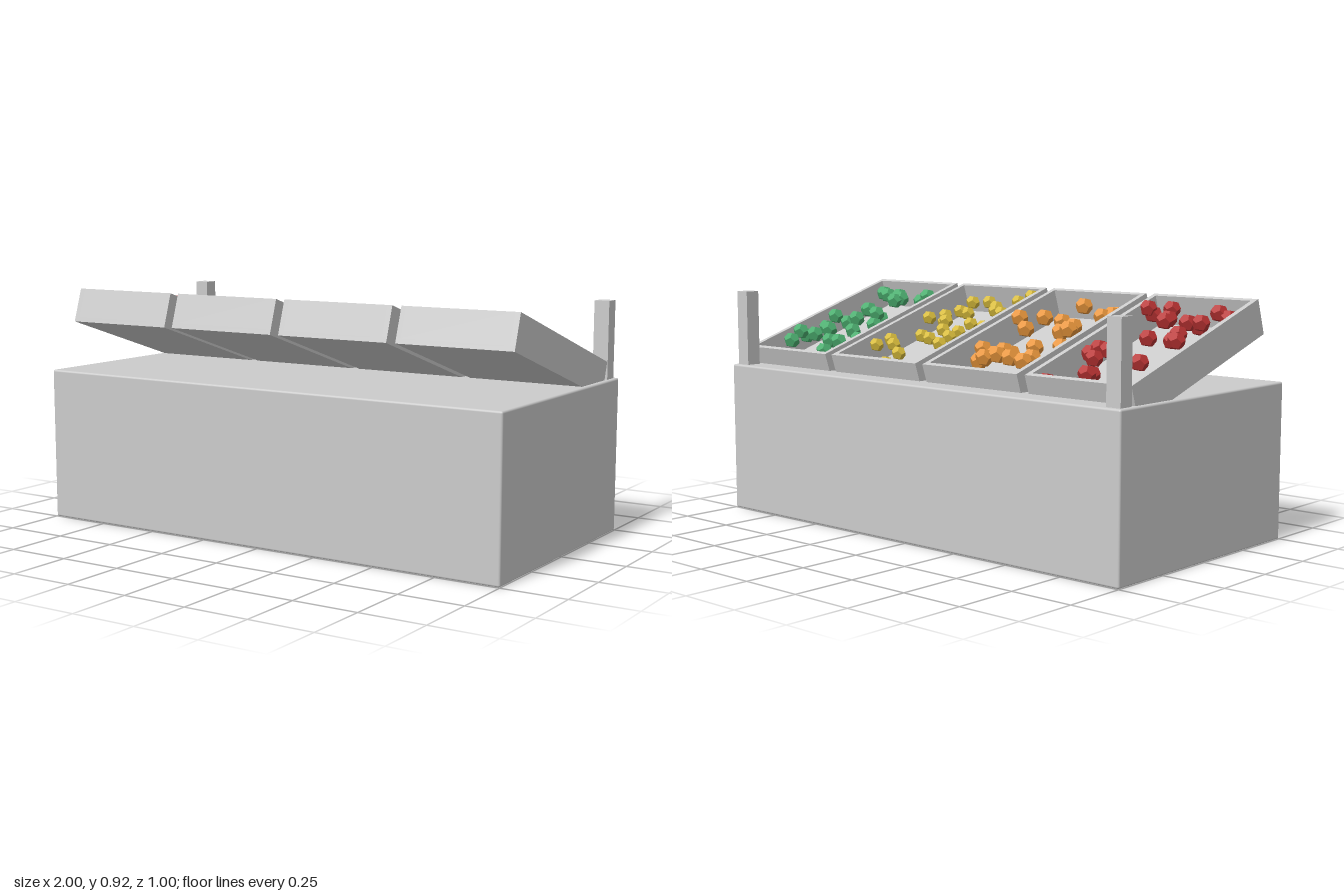
import * as THREE from 'three';
import { RoundedBoxGeometry } from 'three/addons/geometries/RoundedBoxGeometry.js';

const grey = new THREE.MeshStandardMaterial({ color: 0xcccccc });

function add(parent, name, geometry, x, y, z, material = grey) {
  const mesh = new THREE.Mesh(geometry, material);
  mesh.name = name;
  mesh.position.set(x, y, z);
  parent.add(mesh);
  return mesh;
}

// Small repeatable random number generator
function seeded(seed) {
  return () => (seed = (seed * 16807) % 2147483647) / 2147483647;
}

// Tray size, wall thickness, tilt and centre
const W = 0.464, H = 0.137, D = 0.8, T = 0.02;
const TILT = 0.314, TRAY_Y = 0.727, TRAY_Z = -0.02;

// Fruit spots per tray: x from the tray's middle and z, in hundredths
const redSpots = [
  -11.5, -31.6, 2, -34, 18, -36.5, 5.5, -27, -10, -20, 11.5, -18, 2, -14, 9, -13, 14, -12,
  16, -14.5, -11.5, -0.5, 1.5, 0.5, 17, 4, -6.5, 4, -6, 8.5, -11, 15.5, -5.5, 15, -8, 19,
  5, 15.5, 6.5, 20, 7.5, 23.5, 19, 24.5, 18.5, 27, -18, 23, -14, 22.5];
const orangeSpots = [
  -13, -27, -14, -23, -4, -24, 0.5, -26, 4, -29, 8.5, -27, 9, -24, 1, -21.5, 0.5, -18,
  8.5, -18, 16.5, -16, -17, -10, -5, -11, -12.5, -0.5, -7.5, 1, 8.5, -0.5, 18.5, 7.5,
  -5, 12, 1.5, 13, 10, 12.5, -14.5, 17.5, -17, 20.5, -17, 23.5, -2.5, 21.5];
const yellowSpots = [
  2, -33, 1, -27, -10, -15.5, -4, -15, -1, -16, -10.5, -10.5, 13, -18, 18.5, -22, 17.5, -15,
  -9.5, -4, -1, -4, -17, 2.5, -10.5, 2, 3.5, 2.5, 7, 5, 11.5, 1, 10, 9, 2, 9.5, -1, 10.5,
  -17, 13, -11, 16, -8.5, 19.5, -2.5, 22, 3, 18, -13.5, 27.5, -18.5, 30];
const greenSpots = [
  -9, -30, 14.5, -27, -8.5, -21.5, -3, -21.5, -17, -18.5, 6, -21.5, 15.5, -21, 17, -16.5,
  -16.5, -9, -2.5, -8, 8, -12, 10.5, -9.5, 15, -7, -8.5, 0, -7, 4, 1.5, -2, 7.5, -1.5,
  17.5, 0.5, 4.5, 8, 10, 12.5, -4, 15, -5, 18, -1.5, 20.5, 5.5, 20.5, 9.5, 22, -16, 23, -12, 23];

// Open tray: floor and four walls, tilted with the front edge up
function createTray(x) {
  const tray = new THREE.Group();
  tray.name = 'tray';
  tray.position.set(x, TRAY_Y, TRAY_Z);
  tray.rotation.x = -TILT;
  add(tray, 'trayFloor', new THREE.BoxGeometry(W, T, D), 0, -H / 2 + T / 2, 0);
  const wallH = H - T;
  for (const s of [-1, 1]) {
    add(tray, 'traySideWall', new THREE.BoxGeometry(T, wallH, D), s * (W - T) / 2, T / 2, 0);
    add(tray, 'trayEndWall', new THREE.BoxGeometry(W - 2 * T, wallH, T), 0, T / 2, s * (D - T) / 2);
  }
  return tray;
}

// Faceted fruit heaped loosely in a tray
function fillTray(tray, name, spots, radius, color, random) {
  const geometry = new THREE.DodecahedronGeometry(radius);
  const material = new THREE.MeshStandardMaterial({ color, flatShading: true });
  for (let i = 0; i < spots.length; i += 2) {
    const y = 0.015 + 0.045 * random();
    const z = (spots[i + 1] / 100 - TRAY_Z + y * Math.sin(TILT)) / Math.cos(TILT);
    add(tray, name, geometry, spots[i] / 100, y, z, material);
  }
}

export function createModel() {
  const model = new THREE.Group();
  model.name = 'fruitStand';

  // Counter with slightly softened edges
  add(model, 'counter', new RoundedBoxGeometry(2, 0.6, 1, 2, 0.008), 0, 0.3, 0);

  // Rear corner posts
  for (const s of [-1, 1]) {
    add(model, 'post', new THREE.BoxGeometry(0.06, 0.3, 0.06), s * 0.955, 0.75, -0.45);
  }

  // Row of four trays
  const random = seeded(7);
  const fillings = [
    ['redFruit', redSpots, 0.034, 0xb83232],
    ['orangeFruit', orangeSpots, 0.035, 0xe8963c],
    ['yellowFruit', yellowSpots, 0.029, 0xd8bc3c],
    ['greenFruit', greenSpots, 0.034, 0x4caf70],
  ];
  fillings.forEach(([name, spots, radius, color], i) => {
    const tray = createTray(-0.7525 + 0.501 * i);
    fillTray(tray, name, spots, radius, color, random);
    model.add(tray);
  });

  return model;
}
